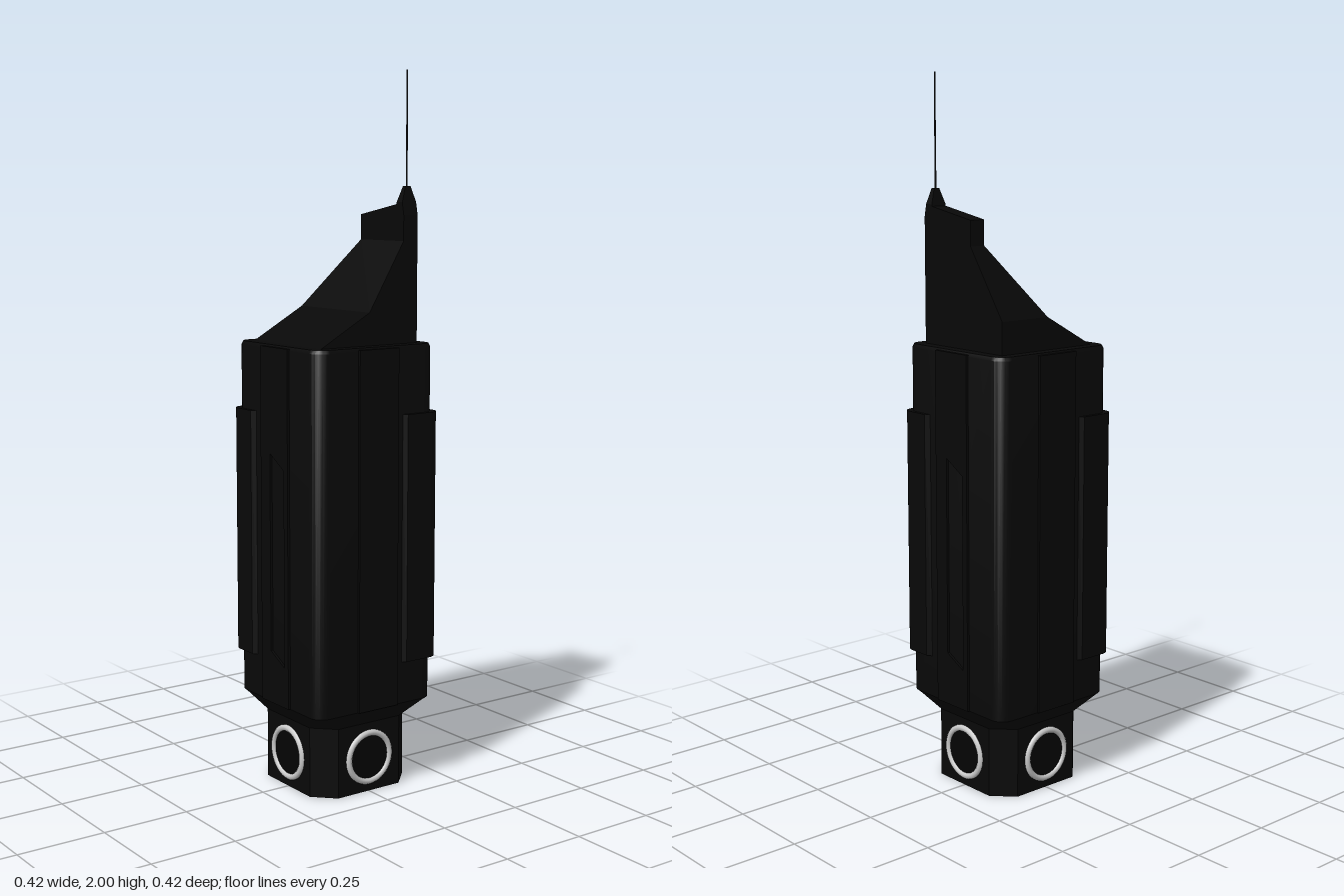
import * as THREE from 'three';
import { toCreasedNormals } from 'three/addons/utils/BufferGeometryUtils.js';
import { ConvexGeometry } from 'three/addons/geometries/ConvexGeometry.js';

const dark = new THREE.MeshStandardMaterial({ color: 0x080808 });
const glass = new THREE.MeshStandardMaterial({ color: 0x040404 });
const silver = new THREE.MeshStandardMaterial({ color: 0xcccccc });

// Square cross-section with rounded or straight-cut corners
function section(y, half, corner, cut = false, steps = 6) {
  const points = [];
  const c = half - corner;
  for (let k = 0; k < 4; k++) {
    for (let i = 0; i <= steps; i++) {
      const t = i / steps, a = (t * Math.PI) / 2;
      const x = c + corner * (cut ? 1 - t : Math.cos(a));
      const z = c + corner * (cut ? t : Math.sin(a));
      const [px, pz] = [[x, z], [-z, x], [-x, -z], [z, -x]][k];
      points.push(new THREE.Vector3(px, y, pz));
    }
  }
  return points;
}

// Skin between successive cross-sections
function loft(rings) {
  const pos = [];
  for (let r = 0; r + 1 < rings.length; r++) {
    const a = rings[r], b = rings[r + 1];
    for (let i = 0; i < a.length; i++) {
      const j = (i + 1) % a.length;
      for (const p of [a[i], b[i], a[j], b[i], b[j], a[j]]) pos.push(p.x, p.y, p.z);
    }
  }
  const g = new THREE.BufferGeometry();
  g.setAttribute('position', new THREE.Float32BufferAttribute(pos, 3));
  return toCreasedNormals(g, 0.5);
}

function hull(points) {
  return new ConvexGeometry(points.map((p) => new THREE.Vector3(...p)));
}

export function createModel() {
  const model = new THREE.Group();
  const add = (name, geometry, material = dark, parent = model) => {
    const mesh = new THREE.Mesh(geometry, material);
    mesh.name = name;
    parent.add(mesh);
    return mesh;
  };

  // Main casing: cut-corner foot, flared shoulder, tall rounded block
  add('casing', loft([
    section(0, 0.143, 0.05, true),
    section(0, 0.163, 0.057, true),
    section(0.2, 0.163, 0.057, true),
    section(0.25, 0.2, 0.04),
    section(1.25, 0.2, 0.04),
    section(1.26, 0.195, 0.036),
    section(1.26, 0, 0),
  ]));

  // Pale hollow in the underside
  add('undersideReflector', loft([section(0.055, 0, 0), section(0, 0.143, 0.05, true)]), silver);

  // One strip and one porthole on each of the four sides
  for (let k = 0; k < 4; k++) {
    const side = new THREE.Group();
    side.name = ['front', 'left', 'back', 'right'][k] + 'Side';
    side.rotation.y = (k * Math.PI) / 2;
    model.add(side);

    const strip = new THREE.Shape([[-0.066, 0.25], [0.066, 0.25], [0.066, 1.255], [-0.066, 1.255]]
      .map((p) => new THREE.Vector2(...p)));
    // Slanted slot on the two flanks
    if (k % 2) {
      strip.holes.push(new THREE.Path([[-0.02, 0.4], [-0.02, 0.96], [0.047, 0.92], [0.047, 0.365]]
        .map((p) => new THREE.Vector2(...p))));
    }
    add('sideStrip', new THREE.ExtrudeGeometry(strip, { depth: 0.017, bevelEnabled: false }), dark, side)
      .position.z = 0.19;

    const ring = [[0.062, 0], [0.062, 0.006], [0.067, 0.01], [0.074, 0.01], [0.079, 0.005], [0.079, 0]]
      .map((p) => new THREE.Vector2(...p)).reverse();
    const ringGeo = new THREE.LatheGeometry(ring, 48);
    ringGeo.rotateX(Math.PI / 2);
    const rim = add('portholeRing', ringGeo, silver.clone(), side);
    rim.material.side = THREE.DoubleSide;
    rim.position.set(0, 0.1, 0.162);
    add('portholeGlass', new THREE.CircleGeometry(0.064, 48), glass, side).position.set(0, 0.1, 0.165);
  }

  // Guards wrapping two opposite corners
  const guard = new THREE.Shape();
  guard.moveTo(0.085, 0.18);
  guard.lineTo(0.18, 0.18);
  guard.lineTo(0.18, 0.098);
  guard.lineTo(0.2, 0.098);
  guard.lineTo(0.211, 0.11);
  guard.lineTo(0.211, 0.175);
  guard.absarc(0.175, 0.175, 0.036, 0, Math.PI / 2, false);
  guard.lineTo(0.095, 0.211);
  guard.lineTo(0.085, 0.2);
  for (const turn of [0, 1]) {
    let g = new THREE.ExtrudeGeometry(guard, { depth: 0.7, bevelEnabled: false, curveSegments: 8 });
    g.rotateX(Math.PI / 2);
    g = toCreasedNormals(g, 0.5);
    add('cornerGuard', g).position.y = 1.07;
    model.children.at(-1).rotation.y = turn * Math.PI;
  }

  // Sloped crown rising to one corner
  const b = -0.163, f = 0.16, r = 0.163;
  add('crownWedge', hull([b, f].flatMap((z) =>
    [[-0.17, 1.255, z], [r, 1.255, z], [r, 1.35, z], [0, 1.35, z]])));
  add('crownShoulder', hull([
    [0, 1.35, b], [r, 1.35, b], [r, 1.35, f], [0, 1.35, f],
    [0.115, 1.54, -0.035], [r, 1.54, -0.035], [r, 1.54, f], [0.115, 1.54, f],
  ]));
  add('crownFin', hull([0.115, r].flatMap((x) =>
    [[x, 1.54, -0.035], [x, 1.54, f], [x, 1.61, f], [x, 1.64, 0.15], [x, 1.64, 0.13], [x, 1.61, -0.035]])));

  // Aerial and its tapered mount
  add('aerialMount', hull([
    [0.115, 1.61, 0.125], [r, 1.61, 0.125], [r, 1.61, f], [0.115, 1.61, f],
    [0.115, 1.645, 0.128], [r, 1.645, 0.128], [r, 1.645, 0.153], [0.115, 1.645, 0.153],
    [0.131, 1.688, 0.135], [0.149, 1.688, 0.135], [0.149, 1.688, 0.146], [0.131, 1.688, 0.146],
  ]));
  add('aerial', new THREE.CylinderGeometry(0.002, 0.0025, 0.32, 8)).position.set(0.14, 1.84, 0.14);

  return model;
}
